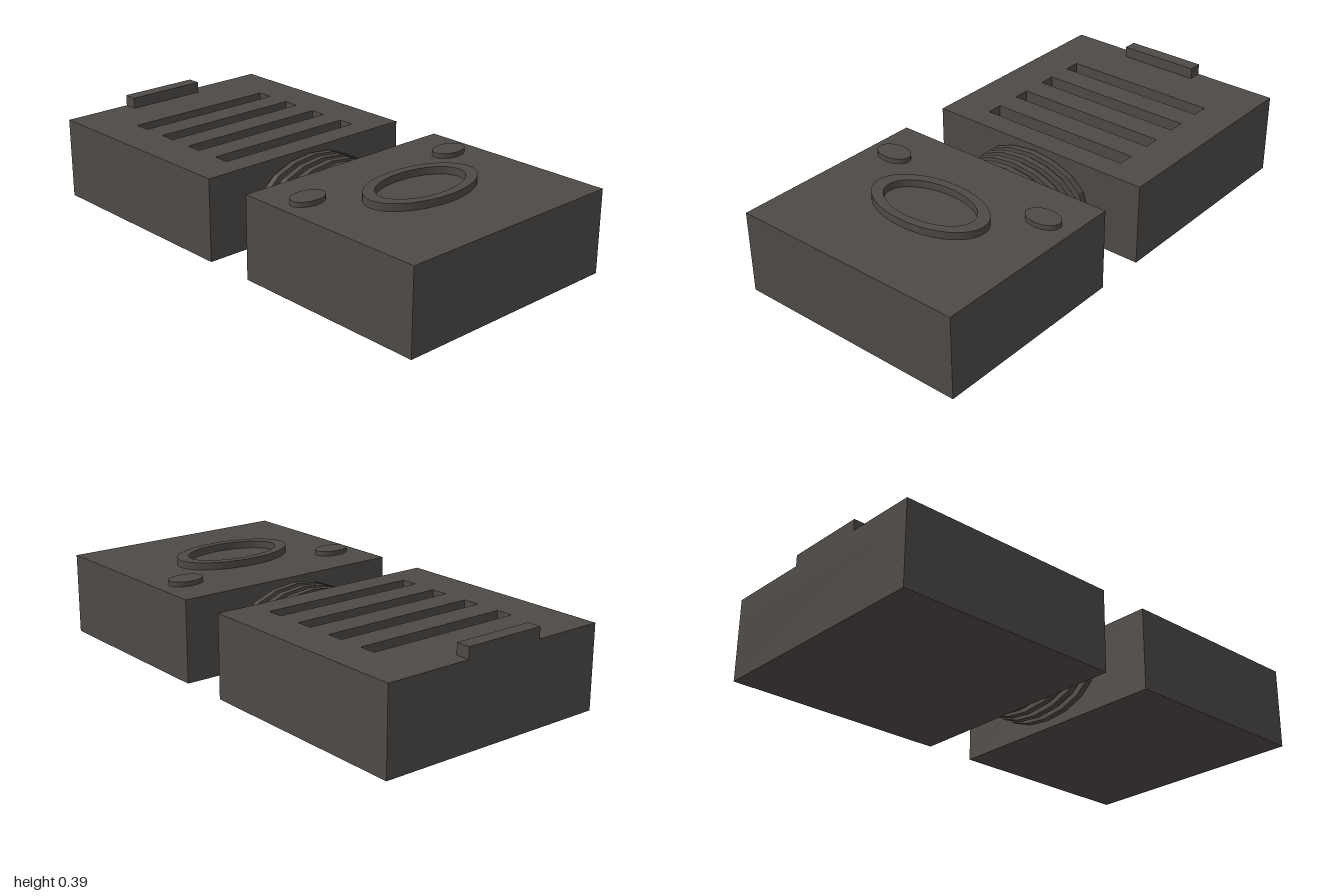
import * as THREE from 'three';

const charcoal = new THREE.MeshStandardMaterial({ color: 0x4d4946 });
charcoal.name = 'charcoal';

const TOP = 0.34, SLOT_DEPTH = 0.08;

function add(group, name, geometry, x = 0, y = 0, z = 0) {
  const mesh = new THREE.Mesh(geometry, charcoal);
  mesh.name = name;
  mesh.position.set(x, y, z);
  group.add(mesh);
  return mesh;
}

// Box given by its limits on each axis
function block(group, name, [x0, x1], [y0, y1], [z0, z1]) {
  return add(group, name, new THREE.BoxGeometry(x1 - x0, y1 - y0, z1 - z0),
    (x0 + x1) / 2, (y0 + y1) / 2, (z0 + z1) / 2);
}

// Rectangle in plan; shape y stands for -z
function rectangle(path, x0, x1, z0, z1) {
  path.moveTo(x0, -z1);
  path.lineTo(x1, -z1);
  path.lineTo(x1, -z0);
  path.lineTo(x0, -z0);
  path.closePath();
  return path;
}

// Extrude a plan shape straight up
function raise(shape, height, curveSegments = 16) {
  const g = new THREE.ExtrudeGeometry(shape, { depth: height, bevelEnabled: false, curveSegments });
  return g.rotateX(-Math.PI / 2);
}

const ellipse = (path, rx, rz) => path.absellipse(0, 0, rx, rz, 0, Math.PI * 2);

export function createModel() {
  const model = new THREE.Group();
  model.name = 'hingedCase';

  // Front half with raised oval ring and two buttons
  block(model, 'frontCase', [-0.5, 0.5], [0, TOP], [0.16, 1]);
  const ring = ellipse(new THREE.Shape(), 0.26, 0.152);
  ring.holes.push(ellipse(new THREE.Path(), 0.207, 0.118));
  add(model, 'ovalRing', raise(ring, 0.03, 32), 0, TOP, 0.557);
  for (const [name, x] of [['rightButton', -0.376], ['leftButton', 0.369]]) {
    add(model, name, raise(ellipse(new THREE.Shape(), 0.076, 0.051), 0.02), x, TOP, 0.357);
  }

  // Rear half: solid base under a slotted top slab
  block(model, 'rearCaseBase', [-0.5, 0.5], [0, TOP - SLOT_DEPTH], [-1, -0.055]);
  const slab = rectangle(new THREE.Shape(), -0.5, 0.5, -1, -0.055);
  for (let i = 0; i < 4; i++) {
    const z = -0.711 + i * 0.1735;
    slab.holes.push(rectangle(new THREE.Path(), -0.332, 0.338, z - 0.035, z + 0.035));
  }
  add(model, 'slottedTop', raise(slab, SLOT_DEPTH), 0, TOP - SLOT_DEPTH, 0);
  block(model, 'rearTab', [-0.206, 0.141], [TOP, 0.386], [-1, -0.942]);

  // Oval ribbed neck joining the halves
  const core = 0.23, rib = 0.265;
  const profile = [new THREE.Vector2(core, -0.06)];
  for (let i = 0; i < 4; i++) {
    const z = -0.043 + i * 0.0515;
    for (const [r, d] of [[core, 0], [rib, 0], [rib, 0.026], [core, 0.026]]) {
      profile.push(new THREE.Vector2(r, z + d));
    }
  }
  profile.push(new THREE.Vector2(core, 0.165));
  const neck = new THREE.LatheGeometry(profile, 16).toNonIndexed();
  neck.rotateX(Math.PI / 2);
  neck.scale(1, 0.58, 1);
  neck.computeVertexNormals();
  add(model, 'ribbedNeck', neck, 0, 0.171, 0);

  return model;
}
